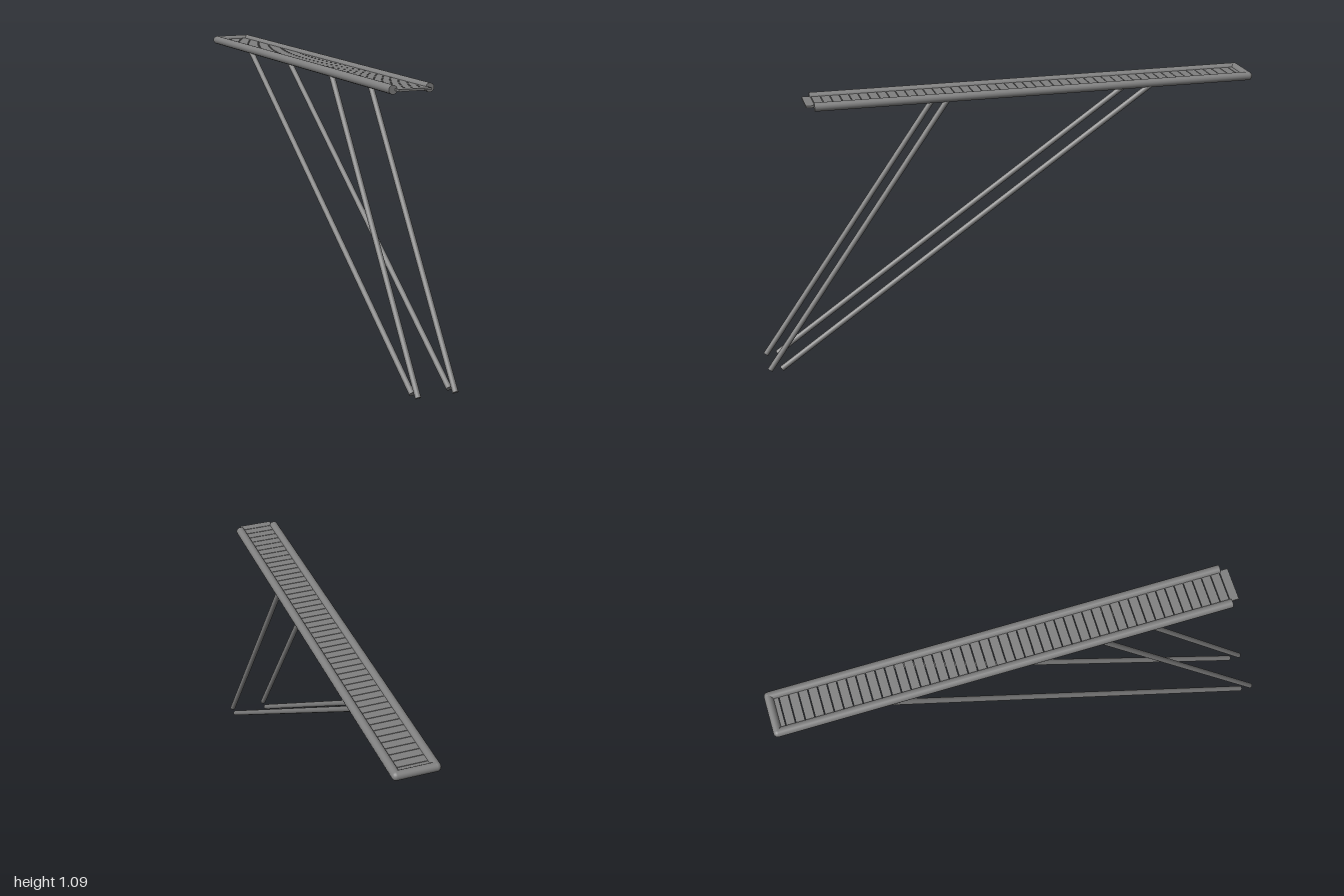
import * as THREE from 'three';

const Y = 1.076;        // height of the frame's centre line
const X = 0.073;        // half spacing of the rails
const BACK = -0.983;    // centre line of the rear bar
const FRONT = 0.77;     // open front end of the rails
const R = 0.017;        // frame tube radius

export function createModel() {
  const model = new THREE.Group();
  const material = new THREE.MeshStandardMaterial({ color: 0x808080 });

  function add(name, geometry) {
    const mesh = new THREE.Mesh(geometry, material);
    mesh.name = name;
    model.add(mesh);
    return mesh;
  }

  // Straight round bar between two points
  function rod(name, from, to, radius) {
    const start = new THREE.Vector3(...from);
    const end = new THREE.Vector3(...to);
    const axis = end.clone().sub(start);
    const mesh = add(name, new THREE.CylinderGeometry(radius, radius, axis.length(), 16));
    mesh.position.copy(start).add(end).multiplyScalar(0.5);
    mesh.quaternion.setFromUnitVectors(new THREE.Vector3(0, 1, 0), axis.normalize());
  }

  // Rear bar closing the frame
  rod('rearBar', [-X, Y, BACK], [X, Y, BACK], R);

  // Deck slats with narrow gaps, running past the open front end
  const count = 49, start = -0.983, end = 0.8, gap = 0.003;
  const pitch = (end - start + gap) / count;
  const slat = new THREE.BoxGeometry(0.13, 0.008, pitch - gap);
  for (let i = 0; i < count; i++) {
    add('slat', slat).position.set(0, Y, start + pitch * i + (pitch - gap) / 2);
  }

  // Each side: a rail, a rounded rear corner and two slanted struts
  const corner = new THREE.SphereGeometry(R, 16, 12);
  for (const [side, prefix] of [[1, 'left'], [-1, 'right']]) {
    const x = side * 0.075;
    rod(prefix + 'Rail', [side * X, Y, FRONT], [side * X, Y, BACK], R);
    add(prefix + 'Corner', corner).position.set(side * X, Y, BACK);
    rod(prefix + 'FrontStrut', [x, 0.009, 0.991], [x, Y - 0.005, 0.255], 0.011);
    rod(prefix + 'RearStrut', [x, 0.009, 0.945], [x, Y - 0.005, -0.57], 0.011);
  }

  return model;
}
